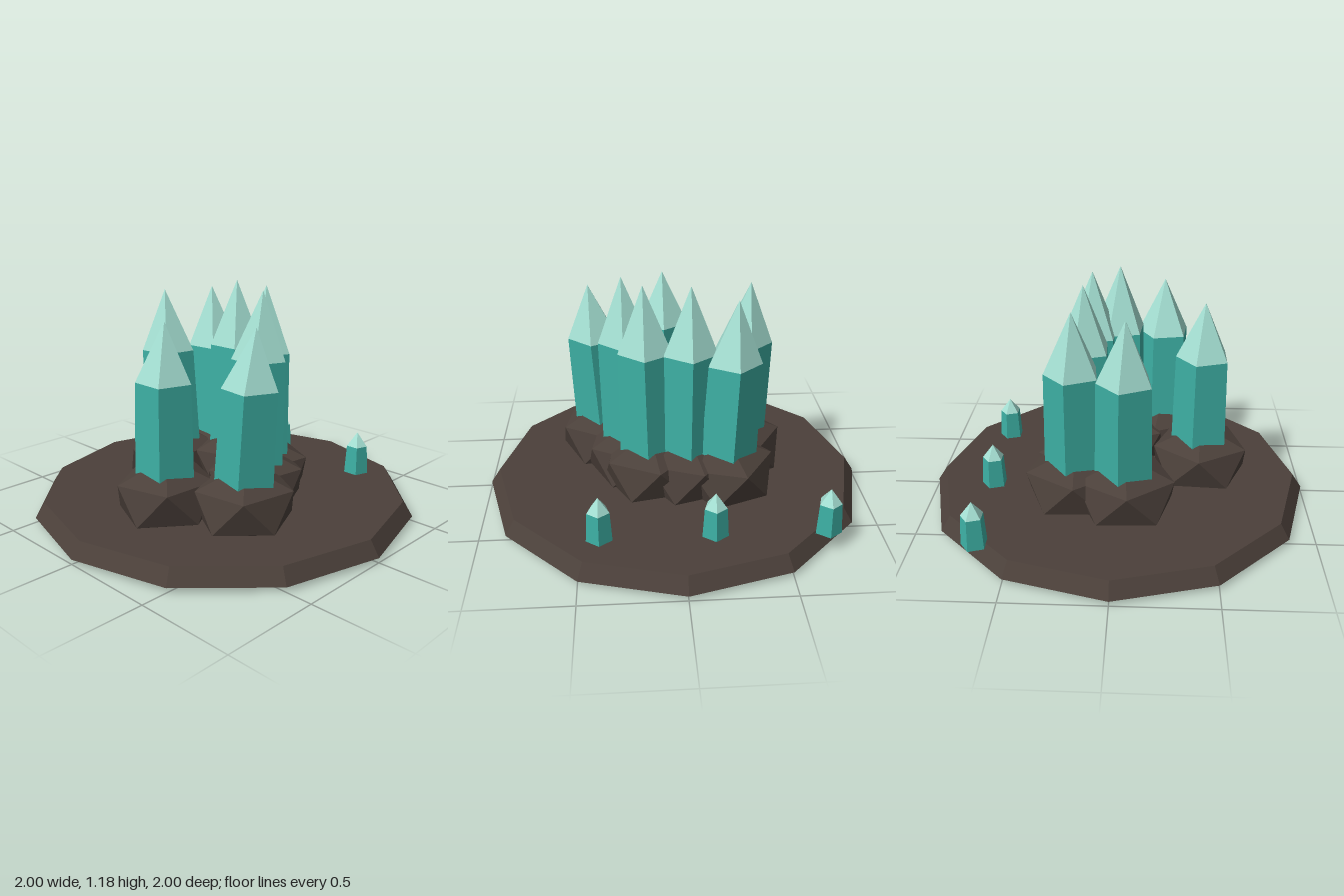
import * as THREE from 'three';

const material = (name, color) => {
  const m = new THREE.MeshStandardMaterial({ color, flatShading: true });
  m.name = name;
  return m;
};

export function createModel() {
  const model = new THREE.Group();
  const stone = material('dark stone', 0x4b403a);
  const teal = material('teal crystal', 0x3db0a4);
  const pale = material('pale crystal tip', 0xa4dfd2);

  const add = (parent, name, geometry, mat) => {
    const mesh = new THREE.Mesh(geometry, mat);
    mesh.name = name;
    parent.add(mesh);
    return mesh;
  };

  // Five-sided prism or pyramid between two heights, sheared sideways from x0 to x1
  const prism = (r0, r1, y0, y1, x0, x1, turn) => {
    const g = new THREE.CylinderGeometry(r1, r0, y1 - y0, 5, 1, true);
    g.rotateY(Math.PI + turn).translate(0, (y0 + y1) / 2, 0);
    const p = g.attributes.position;
    for (let i = 0; i < p.count; i++) {
      const t = (p.getY(i) - y0) / (y1 - y0);
      p.setX(i, p.getX(i) + x0 + (x1 - x0) * t);
    }
    g.computeVertexNormals();
    return g;
  };

  // Squashed icosahedron standing on one corner
  const rockGeometry = (turn) => {
    const g = new THREE.IcosahedronGeometry(1, 0);
    g.rotateX(-Math.atan((1 + Math.sqrt(5)) / 2));
    g.rotateY(Math.PI + turn);
    g.scale(0.27, 0.19, 0.285);
    return g;
  };

  // Ground slab
  add(model, 'groundSlab', new THREE.CylinderGeometry(0.95, 1, 0.077, 12), stone).position.y = 0.0625;

  // Tall crystals, each in its own rock: tip x, tip z, tip height, shoulder height, turn
  const crystals = [
    [-0.393, 0.05, 1.12, 0.80, 0.12],
    [-0.297, -0.21, 1.12, 0.80, 0.1],
    [-0.07, -0.17, 1.18, 0.84, 0.03],
    [0.163, -0.14, 1.18, 0.84, -0.06],
    [0.265, 0.0, 1.18, 0.84, -0.1],
    [0.44, 0.24, 1.06, 0.77, -0.12],
    [0.04, 0.44, 1.06, 0.77, 0],
  ];
  crystals.forEach(([x, z, top, shoulder, turn]) => {
    const cluster = new THREE.Group();
    cluster.name = 'crystalInRock';
    cluster.position.z = z;
    model.add(cluster);
    add(cluster, 'rock', rockGeometry(turn + 0.25), stone).position.set(x * 0.85, 0.19, 0);
    add(cluster, 'crystalBody', prism(0.158, 0.143, 0.1, shoulder, x * 0.84, x * 0.94, turn), teal);
    add(cluster, 'crystalTip', prism(0.143, 0, shoulder, top, x * 0.94, x, turn), pale);
  });

  // Small crystals along the back
  [-0.7, -0.153, 0.4].forEach((x) => {
    const small = new THREE.Group();
    small.name = 'smallCrystal';
    small.position.set(x, 0, -0.652);
    model.add(small);
    add(small, 'smallCrystalBody', prism(0.067, 0.057, 0.095, 0.255, 0, 0, 0), teal);
    add(small, 'smallCrystalTip', prism(0.057, 0, 0.255, 0.33, 0, 0, 0), pale);
    // Underside, exposed where a crystal overhangs the slab
    const foot = new THREE.CircleGeometry(0.067, 5);
    foot.rotateZ(-Math.PI / 2).rotateX(Math.PI / 2);
    foot.scale(1, 1, 1).translate(0, 0.095, 0);
    add(small, 'smallCrystalFoot', foot, teal);
  });

  return model;
}
